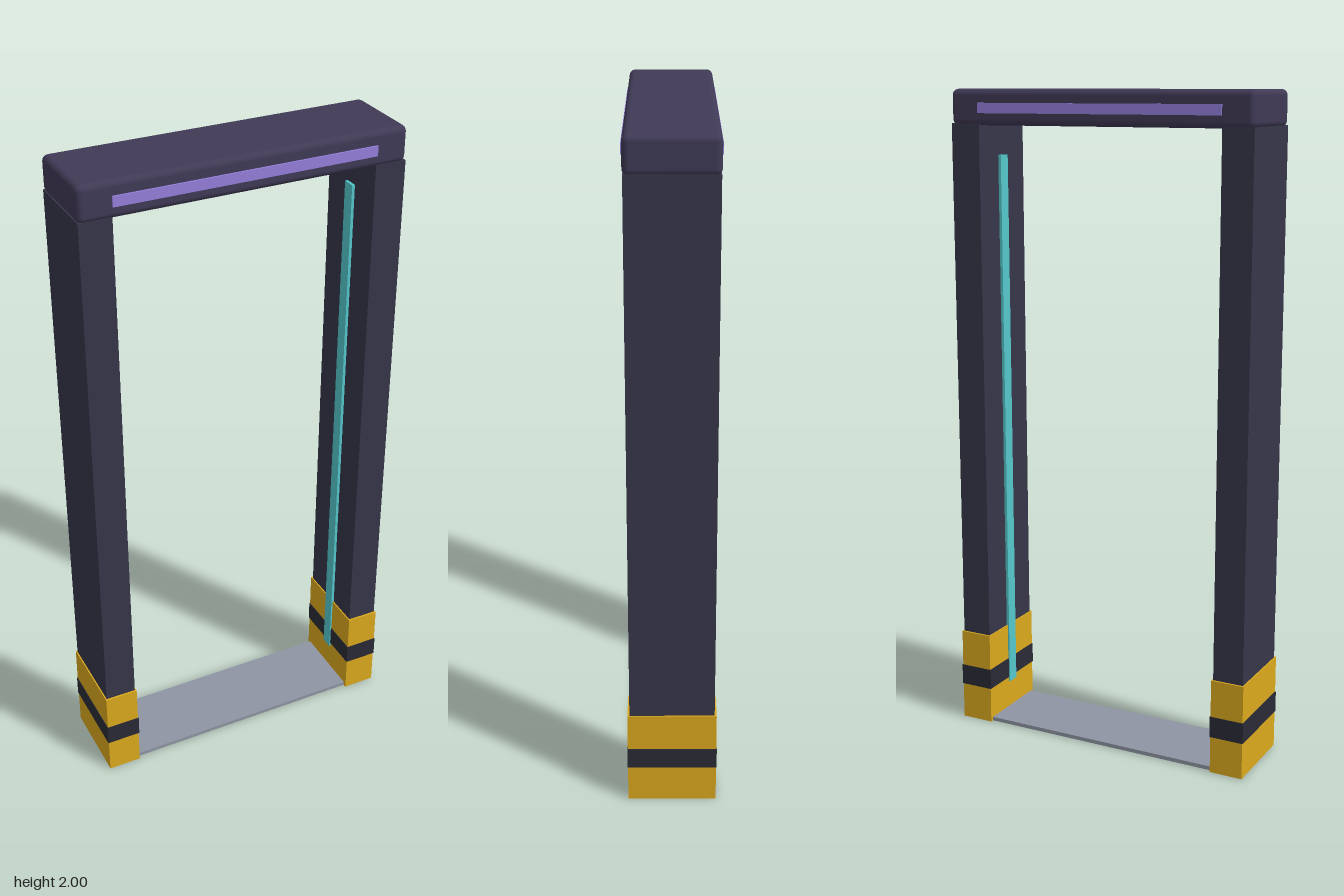
import * as THREE from 'three';
import { RoundedBoxGeometry } from 'three/addons/geometries/RoundedBoxGeometry.js';

const paint = (color) => new THREE.MeshStandardMaterial({ color });

export function createModel() {
  const model = new THREE.Group();
  model.name = 'walkThroughGate';

  const mats = {
    pillar: paint(0x36364a),
    header: paint(0x403a56),
    yellow: paint(0xdcaa1e),
    band: paint(0x2a2a36),
    cyan: paint(0x55c8cc),
    purple: paint(0x9680dc),
    plate: paint(0x8f95a3),
  };

  const add = (name, geometry, mat, x, y, z, parent = model) => {
    const mesh = new THREE.Mesh(geometry, mat);
    mesh.name = name;
    mesh.position.set(x, y, z);
    parent.add(mesh);
    return mesh;
  };
  // box given by its vertical range
  const box = (name, mat, w, y0, y1, d, x, z = 0, parent = model) =>
    add(name, new THREE.BoxGeometry(w, y1 - y0, d), mat, x, (y0 + y1) / 2, z, parent);

  // Side posts with striped feet and an inner light strip
  for (const [side, s] of [['left', 1], ['right', -1]]) {
    const post = new THREE.Group();
    post.name = side + 'Post';
    model.add(post);
    const x = s * 0.4375;
    box('pillar', mats.pillar, 0.095, 0, 1.9, 0.25, x, 0, post);
    box('footGuard', mats.yellow, 0.103, 0.001, 0.295, 0.262, x, 0, post);
    box('footStripe', mats.band, 0.107, 0.115, 0.18, 0.265, x, 0, post);
    box('sensorStrip', mats.cyan, 0.01, 0.1, 1.805, 0.04, s * 0.386, 0, post);
  }

  // Rounded top beam with a light bar on both faces
  add('header', new RoundedBoxGeometry(0.972, 0.105, 0.254, 3, 0.018), mats.header, 0, 1.9475, 0);
  for (const [name, s] of [['frontLightBar', 1], ['backLightBar', -1]]) {
    box(name, mats.purple, 0.78, 1.93, 1.96, 0.01, 0, s * 0.127);
  }

  // Thin floor plate between the feet
  box('floorPlate', mats.plate, 0.78, 0.001, 0.013, 0.24, 0);

  return model;
}
